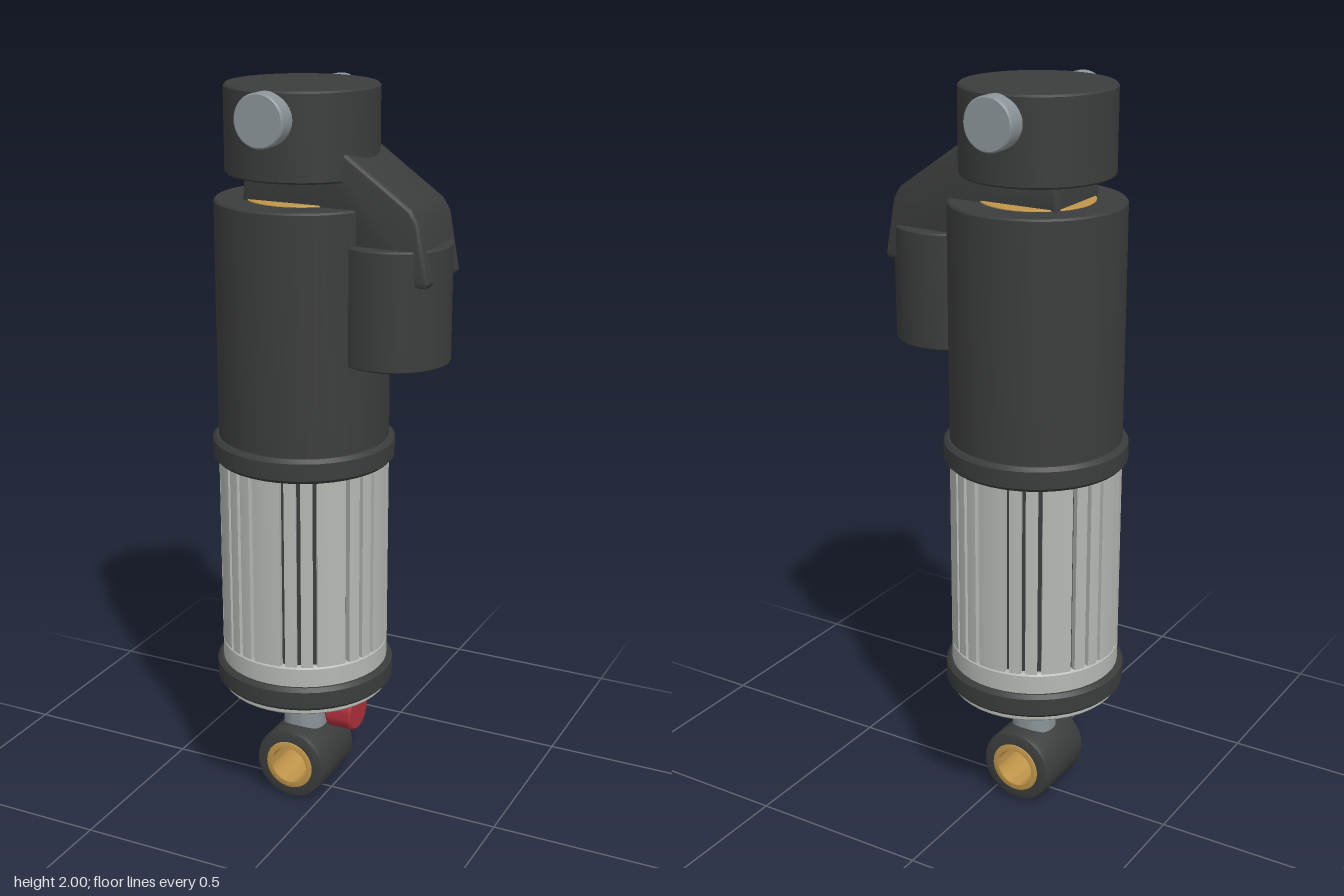
import * as THREE from 'three';
import { toCreasedNormals } from 'three/addons/utils/BufferGeometryUtils.js';

const AXIS_X = -0.083;
const SEG = 40;
const paint = (color) => new THREE.MeshStandardMaterial({ color });

export function createModel() {
  const model = new THREE.Group();
  const dark = paint(0x3b3d3c), silver = paint(0xb4b8b2), steel = paint(0x8b9499);
  const gold = paint(0xc0954a), red = paint(0xb0303a);

  const add = (name, geometry, material, x = AXIS_X, y = 0, z = 0) => {
    const mesh = new THREE.Mesh(geometry, material);
    mesh.name = name;
    mesh.position.set(x, y, z);
    model.add(mesh);
    return mesh;
  };

  // Solid cylinder from y0 to y1 with small bevelled rims
  const drum = (r, y0, y1, b = 0.008) => toCreasedNormals(new THREE.LatheGeometry([
    [0, y0], [r - b, y0], [r, y0 + b], [r, y1 - b], [r - b, y1], [0, y1],
  ].map(([px, py]) => new THREE.Vector2(px, py)), SEG), 0.6);

  // Hollow ring of inner radius ri and outer radius ro, half length h
  const ring = (ri, ro, h, b) => toCreasedNormals(new THREE.LatheGeometry([
    [ri, -h], [ro - b, -h], [ro - b * 0.3, -h + b * 0.3], [ro, -h + b],
    [ro, h - b], [ro - b * 0.3, h - b * 0.3], [ro - b, h], [ri, h], [ri, -h],
  ].map(([px, py]) => new THREE.Vector2(px, py)), SEG), 0.6);

  // Head with a pin on the front and back
  add('headCap', drum(0.2, 1.775, 2, 0.005), dark);
  for (const side of [1, -1]) {
    const pin = add(side > 0 ? 'frontPin' : 'backPin', drum(0.068, 0, 0.09, 0.004), steel, AXIS_X, 1.932, side * 0.15);
    pin.rotation.x = side * Math.PI / 2;
  }

  // Upper body and the gold piston showing in its top
  add('upperBody', drum(0.23, 1.06, 1.71, 0.005), dark);
  add('piston', drum(0.15, 1.68, 1.714, 0.002), gold);

  // Sloping bridge from the head to the reservoir
  const profile = new THREE.Shape([
    [-0.2, 1.7], [-0.195, 1.78], [0, 1.9], [0.1, 1.836], [0.265, 1.72], [0.284, 1.69],
    [0.312, 1.54], [0.305, 1.53], [0.2, 1.53], [0.1, 1.6], [0.09, 1.7],
  ].map(([px, py]) => new THREE.Vector2(px, py)));
  const bridge = new THREE.ExtrudeGeometry(profile, {
    depth: 0.194, bevelEnabled: true, bevelThickness: 0.012, bevelSize: 0.01, bevelOffset: -0.008, bevelSegments: 3,
  });
  bridge.translate(0, 0, -0.097);
  add('bridge', toCreasedNormals(bridge, 0.6), dark, 0);
  add('reservoir', drum(0.147, 1.31, 1.62, 0.004), dark, 0.18);

  // Collars around the sleeve
  add('upperCollar', drum(0.246, 1.008, 1.075, 0.01), dark);
  add('lowerCollar', drum(0.246, 0.353, 0.42, 0.01), dark);

  // Silver sleeve: eight groups of three slots over a dark core
  const slots = [];
  for (let g = 0; g < 8; g++)
    for (const d of [-11, 0, 11]) slots.push(THREE.MathUtils.degToRad(22.5 + g * 45 + d));
  const R = 0.23, floor = 0.2, half = 0.026;
  const section = new THREE.Shape();
  section.moveTo(R * Math.cos(slots[0] + half), R * Math.sin(slots[0] + half));
  slots.forEach((a, i) => {
    const next = i < slots.length - 1 ? slots[i + 1] : slots[0] + Math.PI * 2;
    section.absarc(0, 0, R, a + half, next - half, false);
    section.lineTo(floor * Math.cos(next - half), floor * Math.sin(next - half));
    section.lineTo(floor * Math.cos(next + half), floor * Math.sin(next + half));
    section.lineTo(R * Math.cos(next + half), R * Math.sin(next + half));
  });
  const slotted = new THREE.ExtrudeGeometry(section, { depth: 0.56, bevelEnabled: false, curveSegments: 4 });
  slotted.rotateX(-Math.PI / 2);
  add('slottedSleeve', toCreasedNormals(slotted, 0.6), silver, AXIS_X, 0.478);
  add('sleeveCore', drum(0.212, 0.4, 1.04, 0.002), dark);
  add('sleeveBase', drum(0.23, 0.335, 0.478, 0.006), silver);

  // Rod, adjuster knob and lower eyelet with its bushing
  add('rod', drum(0.061, 0.195, 0.345, 0.002), steel);
  const knob = add('adjusterKnob', drum(0.06, 0, 0.08, 0.006), red, 0.005, 0.27);
  knob.rotation.z = -Math.PI / 2;
  const eyelet = add('eyelet', ring(0.069, 0.105, 0.105, 0.015), dark, AXIS_X, 0.107);
  eyelet.rotation.x = Math.PI / 2;
  const bushing = add('bushing', ring(0.054, 0.071, 0.108, 0.003), gold, AXIS_X, 0.107);
  bushing.rotation.x = Math.PI / 2;
  eyelet.position.y = bushing.position.y = 0.105;

  return model;
}
